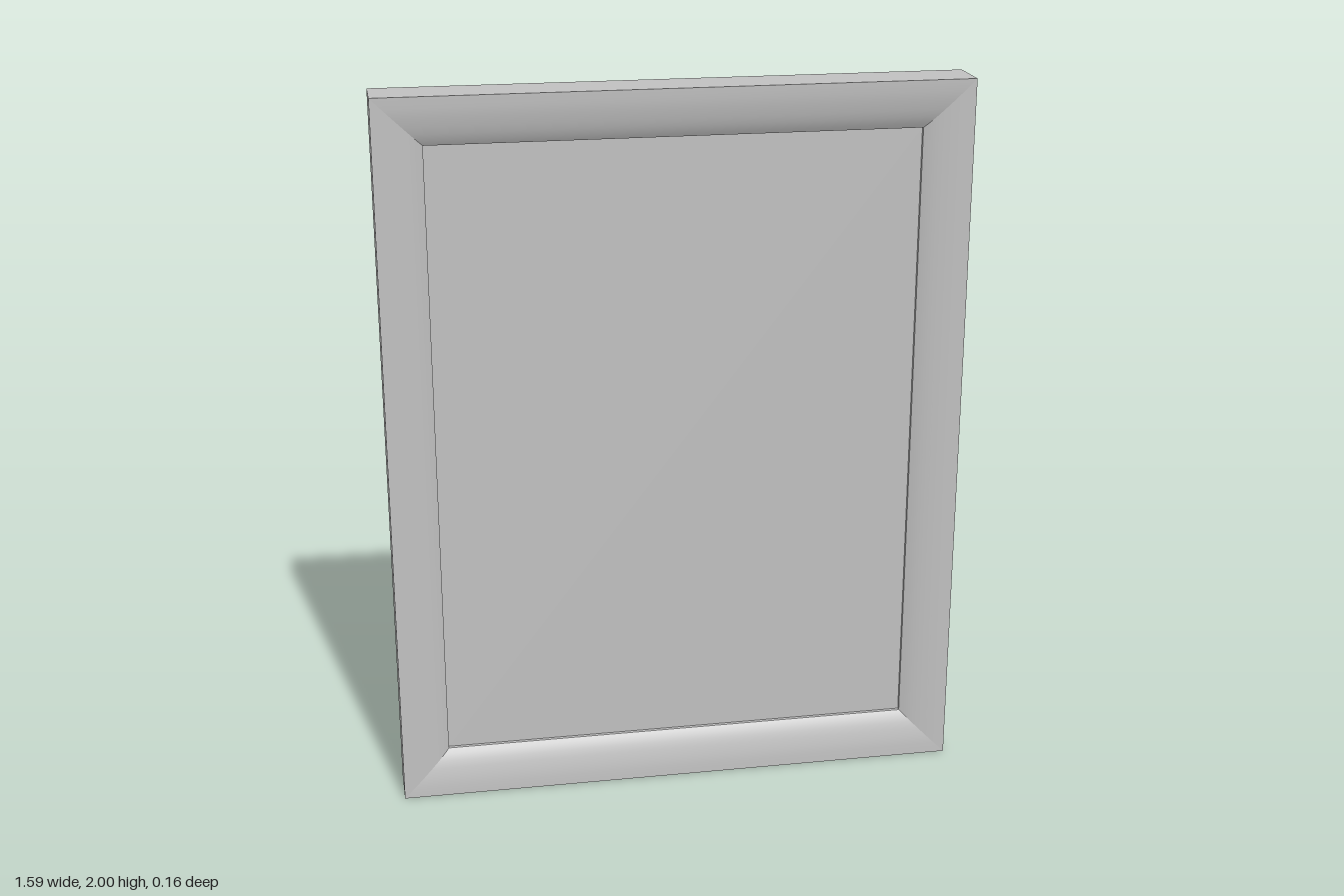
import * as THREE from 'three';

const W = 1.59, H = 2, FRONT = 0.078, BACK = -0.06, BORDER = 0.132, PANEL = 0.035;

const grey = new THREE.MeshStandardMaterial({ color: 0xc0c0c0 });
grey.name = 'plain grey';

function add(parent, geometry, name, x = 0, y = 0, z = 0) {
  const mesh = new THREE.Mesh(geometry, grey);
  mesh.name = name;
  mesh.position.set(x, y, z);
  parent.add(mesh);
  return mesh;
}

// Sweeps a profile of [inset, z] points around the rectangle with mitred corners
function mitredStrip(profile) {
  const pos = [], index = [];
  const corners = [[-1, -1], [1, -1], [1, 1], [-1, 1]];
  for (let side = 0; side < 4; side++) {
    const base = pos.length / 3;
    profile.forEach(([inset, z], j) => {
      for (const [sx, sy] of [corners[side], corners[(side + 1) % 4]]) {
        pos.push(sx * (W / 2 - inset), H / 2 + sy * (H / 2 - inset), z);
      }
      if (j > 0) {
        const a = base + (j - 1) * 2;
        index.push(a, a + 1, a + 3, a, a + 3, a + 2);
      }
    });
  }
  const g = new THREE.BufferGeometry();
  g.setAttribute('position', new THREE.Float32BufferAttribute(pos, 3));
  g.setIndex(index);
  g.computeVertexNormals();
  return g;
}

// Hanger lying along x, standing out toward -z from the back board
function makeHanger(name) {
  const hanger = new THREE.Group();
  hanger.name = name;

  // Bent strap, its thin side outline extruded across the width
  const outer = [[-0.064, 0.004], [-0.055, 0.006], [-0.042, 0.018], [0.042, 0.018], [0.055, 0.006], [0.064, 0.004]];
  const inner = [[0.064, 0.001], [0.053, 0.003], [0.040, 0.0145], [-0.040, 0.0145], [-0.053, 0.003], [-0.064, 0.001]];
  const outline = new THREE.Shape([...outer, ...inner].map(([x, y]) => new THREE.Vector2(x, y)));
  const strap = new THREE.ExtrudeGeometry(outline, { depth: 0.018, bevelEnabled: false });
  strap.translate(0, 0, -0.009);
  strap.rotateX(-Math.PI / 2);
  add(hanger, strap, 'hangerStrap');

  // Round feet with domed screw heads
  for (const s of [-1, 1]) {
    const foot = new THREE.CylinderGeometry(0.014, 0.014, 0.005, 20);
    foot.rotateX(-Math.PI / 2);
    add(hanger, foot, 'hangerFoot', s * 0.064, 0, -0.0025);
    const screw = new THREE.SphereGeometry(0.008, 16, 6, 0, Math.PI * 2, 0, Math.PI / 2);
    screw.scale(1, 0.5, 1);
    screw.rotateX(-Math.PI / 2);
    add(hanger, screw, 'hangerScrew', s * 0.064, 0, -0.005);
  }
  return hanger;
}

export function createModel() {
  const model = new THREE.Group();
  model.name = 'pictureFrame';

  // Frame: flat outer wall, rounded front moulding, small inner lip
  add(model, mitredStrip([[0, BACK], [0, FRONT]]), 'frameOuterWall');
  add(model, mitredStrip([
    [0, FRONT], [0.03, 0.077], [0.055, 0.0735], [0.08, 0.068],
    [0.1, 0.062], [0.118, 0.054], [BORDER, 0.045],
  ]), 'frameMoulding');
  add(model, mitredStrip([[BORDER, 0.045], [BORDER, PANEL]]), 'frameInnerLip');

  // Picture panel and back board
  add(model, new THREE.PlaneGeometry(W - 2 * BORDER, H - 2 * BORDER), 'picturePanel', 0, H / 2, PANEL);
  const board = new THREE.PlaneGeometry(W, H);
  board.rotateY(Math.PI);
  add(model, board, 'backBoard', 0, H / 2, BACK);

  // Two hangers along the top, two along the left edge
  for (const x of [-0.435, 0.435]) {
    const h = makeHanger('topHanger');
    h.position.set(x, 1.955, BACK);
    model.add(h);
  }
  for (const y of [0.315, 1.642]) {
    const h = makeHanger('sideHanger');
    h.position.set(0.745, y, BACK);
    h.rotation.z = Math.PI / 2;
    model.add(h);
  }
  return model;
}
